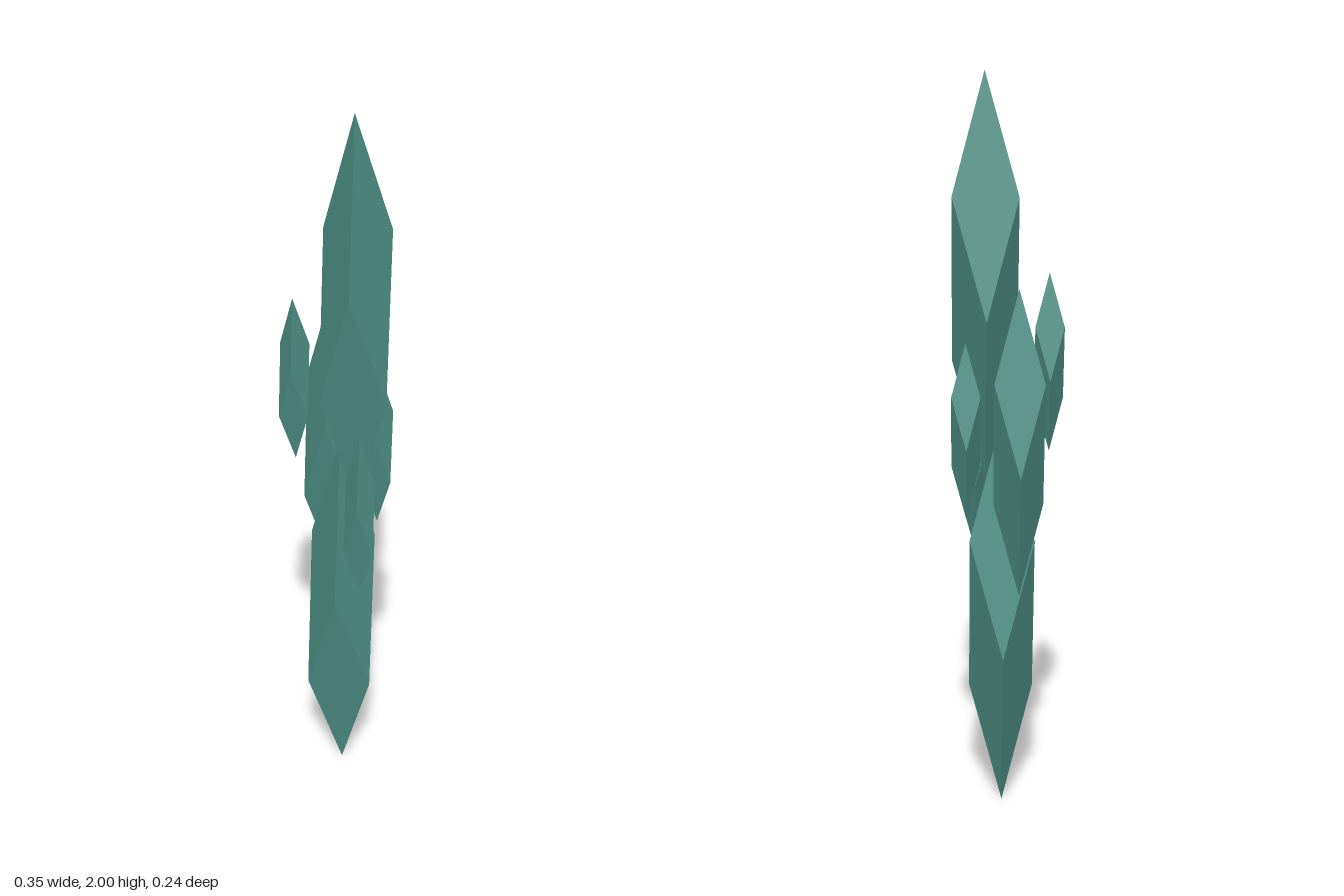
import * as THREE from 'three';

export function createModel() {
  const group = new THREE.Group();
  group.name = 'crystalCluster';
  const teal = new THREE.MeshStandardMaterial({ color: 0x4c8f84 });
  teal.name = 'teal crystal';

  // Three edges running down from the top tip of a full-size slanted crystal
  const edgeFront = new THREE.Vector3(0.065, -0.447, 0.067);
  const edgeLeft = new THREE.Vector3(-0.108, -0.319, 0.014);
  const edgeBack = new THREE.Vector3(0.018, -0.316, -0.108);

  // Unit cube with its corner at the origin, sheared onto the three edges
  const shard = new THREE.BoxGeometry(1, 1, 1)
    .translate(0.5, 0.5, 0.5)
    .applyMatrix4(new THREE.Matrix4().makeBasis(edgeFront, edgeLeft, edgeBack));

  // name, position of the top tip, scale
  const crystals = [
    ['upperCrystal', [0.055, 2.0, 0.005], 1],
    ['lowerCrystal', [0.004, 1.084, 0.012], 1],
    ['sideCrystal', [-0.092, 1.453, -0.026], 0.76],
    ['frontShard', [-0.102, 1.485, 0.083], 0.44],
    ['leftShard', [0.135, 1.165, 0.05], 0.44],
    ['backShard', [0.052, 1.3, -0.076], 0.44],
  ];
  for (const [name, tip, scale] of crystals) {
    const mesh = new THREE.Mesh(shard, teal);
    mesh.name = name;
    mesh.position.set(...tip);
    mesh.scale.setScalar(scale);
    group.add(mesh);
  }
  return group;
}
